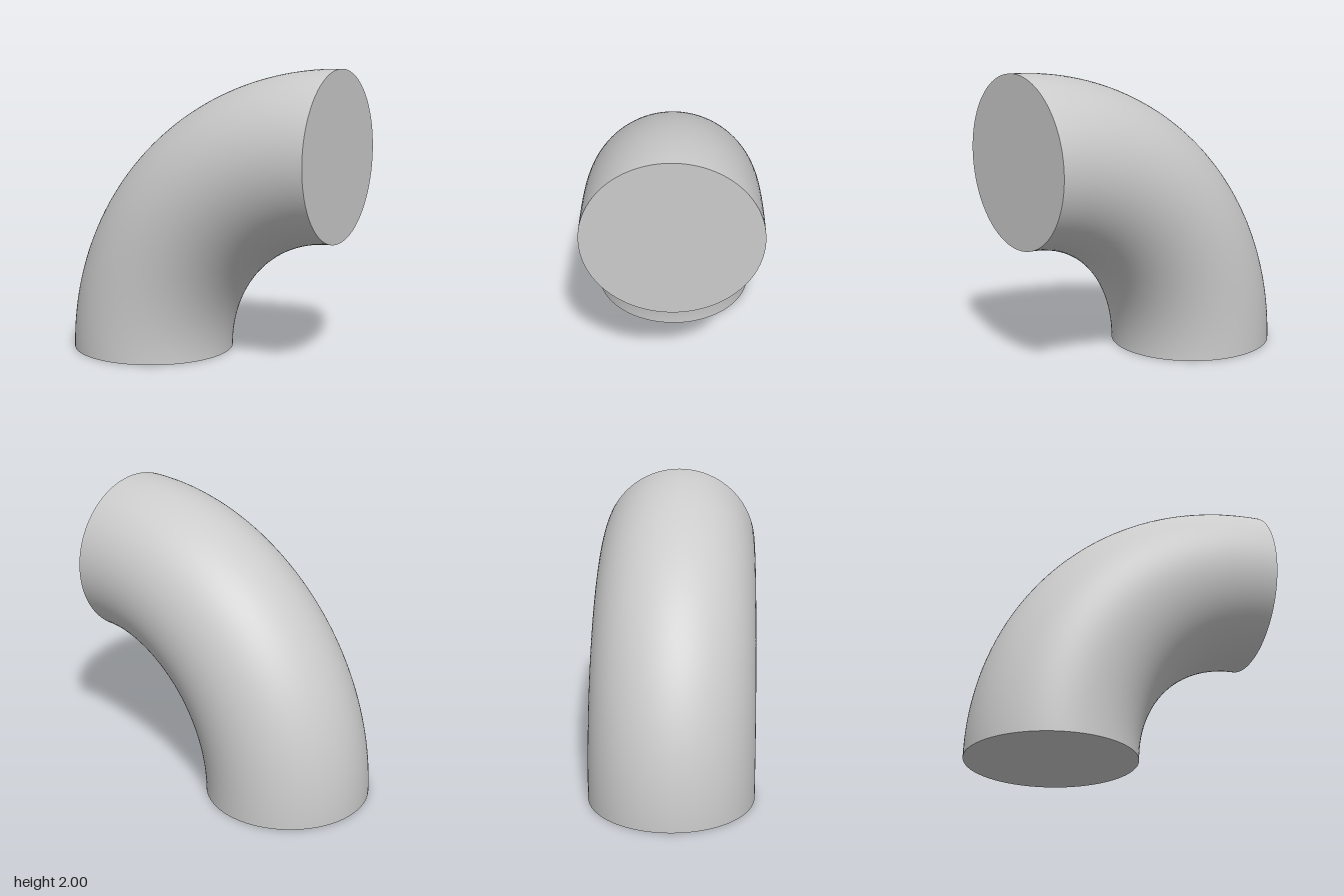
import * as THREE from 'three';

const BEND = 1.43; // radius of the centre line
const PIPE = 0.57; // radius of the cross-section
const SIDES = 96;

export function createModel() {
  const model = new THREE.Group();
  model.name = 'pipeElbow';
  const material = new THREE.MeshStandardMaterial({ color: 0xcccccc });

  const add = (name, geometry) => {
    const mesh = new THREE.Mesh(geometry, material);
    mesh.name = name;
    model.add(mesh);
    return mesh;
  };

  // Quarter bend, turning about the point (1, 0)
  const bend = add('elbowBend', new THREE.TorusGeometry(BEND, PIPE, SIDES, 96, Math.PI / 2));
  bend.rotation.z = Math.PI / 2;
  bend.position.x = 1;

  // Flat end facing down
  const bottom = add('bottomCap', new THREE.CircleGeometry(PIPE, SIDES));
  bottom.rotation.x = Math.PI / 2;
  bottom.position.set(1 - BEND, 0, 0);

  // Flat end facing the side
  const side = add('sideCap', new THREE.CircleGeometry(PIPE, SIDES));
  side.rotation.y = Math.PI / 2;
  side.position.set(1, BEND, 0);

  return model;
}
